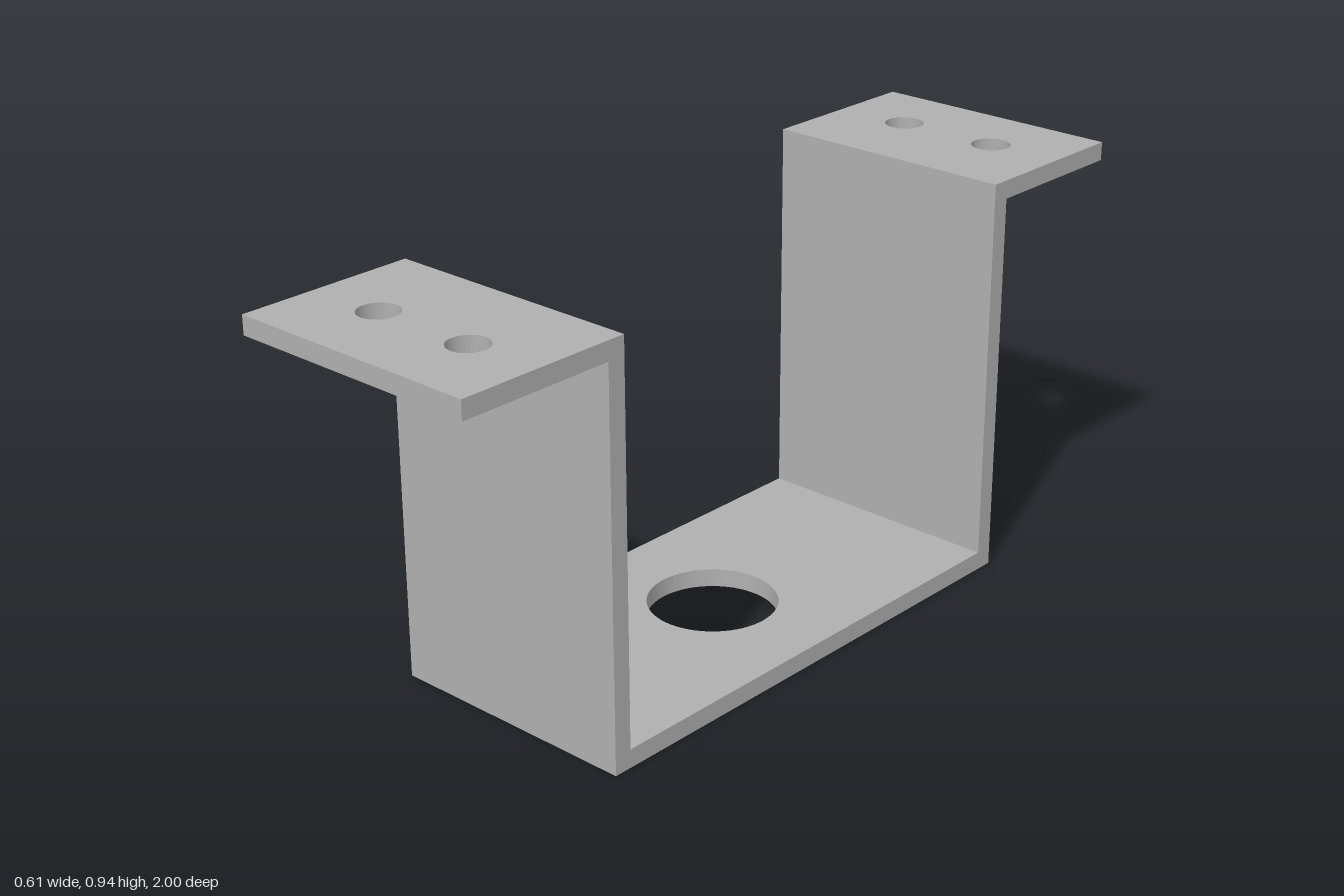
import * as THREE from 'three';

const W = 0.61, H = 0.943, T = 0.043; // width, height, sheet thickness
const WALL_OUT = 0.63, WALL_IN = WALL_OUT - T, END = 1;

// Horizontal plate from z0 to z1 with its underside at y; holes are [x, z, radius]
function plate(name, z0, z1, y, holes, material) {
  const shape = new THREE.Shape();
  shape.moveTo(-W / 2, -z0);
  shape.lineTo(-W / 2, -z1);
  shape.lineTo(W / 2, -z1);
  shape.lineTo(W / 2, -z0);
  shape.closePath();
  for (const [x, z, r] of holes) {
    shape.holes.push(new THREE.Path().absarc(x, -z, r, 0, Math.PI * 2, true));
  }
  const geometry = new THREE.ExtrudeGeometry(shape, { depth: T, bevelEnabled: false, curveSegments: 48 });
  geometry.rotateX(-Math.PI / 2);
  const mesh = new THREE.Mesh(geometry, material);
  mesh.name = name;
  mesh.position.y = y;
  return mesh;
}

export function createModel() {
  const steel = new THREE.MeshStandardMaterial({ color: 0xb0b0b0 });
  steel.name = 'grey steel';
  const bracket = new THREE.Group();
  bracket.name = 'mountingBracket';

  // Base with the large centre hole
  bracket.add(plate('base', -WALL_OUT, WALL_OUT, 0, [[0, 0, 0.148]], steel));

  // Upright walls and drilled flanges at front and back
  for (const [side, s] of [['front', 1], ['back', -1]]) {
    const wallHeight = H - 2 * T;
    const wall = new THREE.Mesh(new THREE.BoxGeometry(W, wallHeight, T), steel);
    wall.name = side + 'Wall';
    wall.position.set(0, T + wallHeight / 2, s * (WALL_IN + T / 2));
    bracket.add(wall);

    const holes = [-0.125, 0.125].map((x) => [x, s * 0.815, 0.045]);
    const z0 = s > 0 ? WALL_IN : -END, z1 = s > 0 ? END : -WALL_IN;
    bracket.add(plate(side + 'Flange', z0, z1, H - T, holes, steel));
  }
  return bracket;
}
